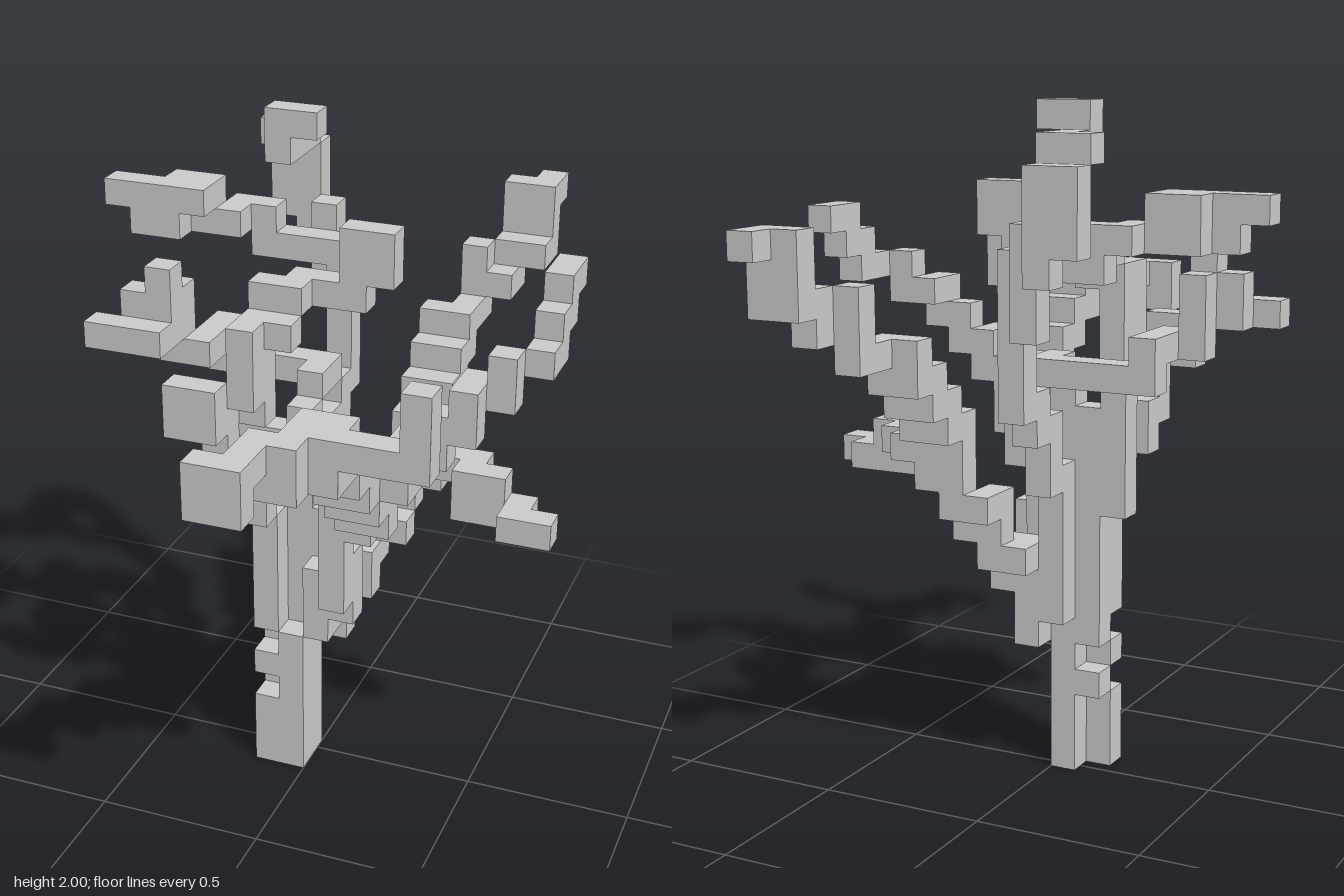
import * as THREE from 'three';
import { mergeGeometries } from 'three/addons/utils/BufferGeometryUtils.js';

const U = 0.08; // voxel size

// Each part is a chain of blocks in voxel units: [x, y, z, width, height, depth]
const parts = {
  trunk: [
    [-1, 0, 0, 1, 6, 2], [-1, 6, 0, 1, 9, 1], [-2, 0, 1, 1, 3, 1], [-2, 3, 0, 1, 1, 1],
    [-2, 4, 1, 1, 1, 1], [-2, 5, 0, 1, 1, 1], [-2, 6, 0, 1, 5, 2],
    [-2, 11, 0, 1, 3, 1], [-3, 10, 0, 1, 5, 1], [0, 9, 0, 1, 2, 1],
  ],
  tallBackBranch: [
    [-1, 6, -1, 1, 6, 1], [-1, 11, -2, 1, 3, 1], [-1, 13, -3, 1, 2, 1],
    [-1, 14, -4, 1, 6, 1], [-2, 17, -5, 1, 4, 1], [-3, 19, -6, 1, 2, 1],
    [-4, 20, -6, 2, 3, 1], [-4, 23, -5, 2, 1, 1], [-3, 23, -4, 1, 1, 1],
    [-3, 23, -3, 1, 2, 1], [-2, 24, -3, 1, 1, 1],
  ],
  upperLeftBranch: [
    [-4, 19, -4, 3, 1, 1], [-5, 20, -4, 2, 1, 1], [-7, 20, -3, 3, 1, 1],
    [-7, 21, -3, 2, 1, 1], [-8, 20, -2, 2, 1, 1], [-9, 21, -2, 4, 1, 1],
  ],
  lowerLeftBranch: [
    [-1, 15, -1, 1, 1, 1], [-4, 15, -2, 4, 1, 1],
    [-5, 15, -2, 1, 2, 1], [-5, 16, -1, 1, 1, 1], [-6, 16, 0, 2, 1, 1],
    [-6, 17, 0, 1, 2, 1], [-6, 17, 1, 1, 3, 1], [-7, 17, 1, 1, 2, 1],
    [-8, 17, 2, 3, 1, 1],
  ],
  frontLeftBranch: [
    [-2, 11, 2, 1, 2, 1], [-3, 12, 2, 1, 2, 1], [-3, 13, 3, 1, 3, 1],
    [-4, 15, 4, 2, 2, 1], [-2, 16, 3, 1, 3, 1], [-2, 15, 2, 1, 3, 1],
    [-2, 18, 2, 2, 1, 1], [-2, 19, 1, 2, 1, 1], [-1, 19, 0, 3, 1, 1],
    [1, 20, 0, 2, 2, 1],
  ],
  frontBranch: [
    [0, 6, 0, 1, 3, 2], [1, 7, 1, 1, 3, 1], [1, 8, 2, 1, 5, 1],
    [2, 11, 2, 1, 2, 1], [2, 12, 3, 2, 2, 1], [2, 13, 4, 2, 2, 1],
    [2, 14, 5, 2, 2, 1], [2, 15, 6, 2, 2, 1], [2, 16, 7, 2, 2, 1],
    [2, 16, 8, 2, 2, 1], [1, 16, 9, 2, 2, 1], [1, 17, 10, 1, 1, 1],
    [0, 16, 11, 2, 2, 1],
  ],
  frontTwig: [[4, 17, 8, 2, 1, 1], [6, 17, 8, 1, 3, 1]],
  rightBranch: [
    [3, 14, 3, 1, 1, 1], [4, 14, 3, 1, 2, 2], [5, 15, 3, 1, 2, 1],
    [6, 16, 3, 1, 2, 1], [6, 17, 2, 1, 1, 1], [7, 17, 2, 1, 2, 1],
    [8, 18, 1, 1, 1, 1], [8, 18, 0, 1, 2, 1], [8, 19, -1, 1, 2, 1],
    [8, 20, -2, 1, 1, 1],
  ],
  backBranch: [
    [0, 5, -1, 1, 4, 1], [0, 8, -2, 1, 1, 1], [1, 7, -1, 1, 2, 1],
    [1, 8, -2, 1, 3, 1], [1, 10, -3, 1, 1, 1], [2, 9, -2, 1, 1, 1],
    [2, 10, -3, 1, 1, 1], [2, 11, -3, 2, 3, 1], [2, 13, -4, 2, 2, 1], [2, 14, -5, 2, 2, 1],
    [2, 15, -6, 2, 2, 1], [3, 16, -7, 1, 1, 1], [3, 16, -8, 1, 1, 1],
    [3, 17, -8, 1, 2, 1], [4, 17, -8, 1, 1, 1], [4, 17, -9, 1, 2, 1],
    [5, 18, -9, 1, 1, 1], [4, 18, -10, 2, 3, 1], [5, 20, -11, 1, 1, 1],
  ],
  lowRightTwig: [
    [3, 12, -3, 2, 1, 1], [4, 12, -2, 2, 1, 1],
    [5, 11, -1, 2, 2, 1], [7, 11, -1, 1, 1, 1], [7, 11, 0, 2, 1, 1],
  ],
};

function block([x, y, z, w, h, d]) {
  const g = new THREE.BoxGeometry(w * U, h * U, d * U);
  return g.translate((x + w / 2) * U, (y + h / 2) * U, (z + d / 2 - 0.5) * U);
}

export function createModel() {
  const group = new THREE.Group();
  group.name = 'voxelTree';
  const material = new THREE.MeshStandardMaterial({ color: 0xcccccc, flatShading: true });
  for (const [name, blocks] of Object.entries(parts)) {
    const mesh = new THREE.Mesh(mergeGeometries(blocks.map(block)), material);
    mesh.name = name;
    group.add(mesh);
  }
  return group;
}
